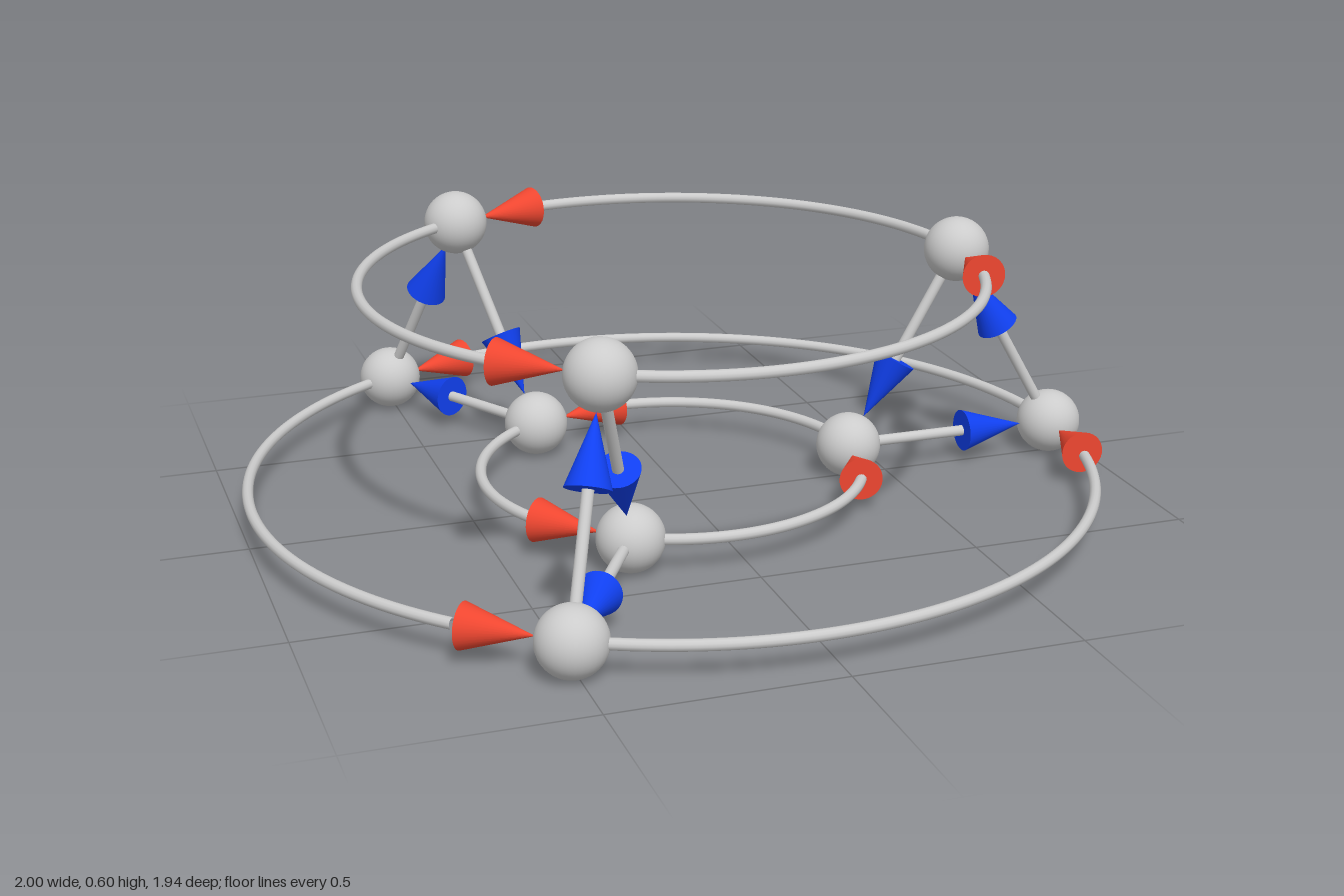
import * as THREE from 'three';

const CX = -0.0315;          // axis of the rings
const NODE_R = 0.075;
const WIRE_R = 0.0125;
const HEAD_R = 0.049;
const HEAD_BASE = 0.228;     // arrowhead base to node centre
const LOW = 0.075, HIGH = 0.527;
const RINGS = {
  inner: { r: 0.436, y: LOW },
  middle: { r: 0.696, y: HIGH },
  outer: { r: 0.9565, y: LOW },
};

const grey = new THREE.MeshStandardMaterial({ color: 0xcccccc });
const red = new THREE.MeshStandardMaterial({ color: 0xee4630 });
const blue = new THREE.MeshStandardMaterial({ color: 0x1040f0 });
const UP = new THREE.Vector3(0, 1, 0);

// Point on a ring; angles run anticlockwise seen from above
function ringPoint({ r, y }, a) {
  return new THREE.Vector3(CX + r * Math.cos(a), y, -r * Math.sin(a));
}

function addMesh(parent, name, geometry, material) {
  const mesh = new THREE.Mesh(geometry, material);
  mesh.name = name;
  parent.add(mesh);
  return mesh;
}

// Arrowhead touching the node at target, arriving from the point from
function addHead(parent, name, from, target, material) {
  const length = HEAD_BASE - NODE_R;
  const dir = target.clone().sub(from).normalize();
  const head = addMesh(parent, name, new THREE.ConeGeometry(HEAD_R, length, 32), material);
  head.quaternion.setFromUnitVectors(UP, dir);
  head.position.copy(target).addScaledVector(dir, -(NODE_R + length / 2));
}

// Straight arrow between two nodes
function addStraightArrow(parent, name, from, target) {
  const dir = target.clone().sub(from);
  const length = dir.length() - HEAD_BASE + 0.005;
  dir.normalize();
  const shaft = addMesh(parent, name + 'Shaft',
    new THREE.CylinderGeometry(WIRE_R, WIRE_R, length, 16), grey);
  shaft.quaternion.setFromUnitVectors(UP, dir);
  shaft.position.copy(from).addScaledVector(dir, length / 2);
  addHead(parent, name + 'Head', from, target, blue);
}

// Arc arrow along a ring, from one node to the next
function addArcArrow(parent, name, ring, start, end) {
  const headAngle = 2 * Math.asin(HEAD_BASE / (2 * ring.r));
  const gap = Math.max(Math.PI / 12, headAngle * 0.97);
  const arc = addMesh(parent, name + 'Arc',
    new THREE.TorusGeometry(ring.r, WIRE_R, 12, 64, end - start - gap), grey);
  arc.rotation.set(-Math.PI / 2, 0, start);
  arc.position.set(CX, ring.y, 0);
  addHead(parent, name + 'Head', ringPoint(ring, end - headAngle), ringPoint(ring, end), red);
}

export function createModel() {
  const model = new THREE.Group();
  model.name = 'triangularRingGraph';
  const step = (Math.PI * 2) / 3;

  for (let i = 0; i < 3; i++) {
    const section = new THREE.Group();
    section.name = 'section' + (i + 1);
    model.add(section);
    const a = i * step;

    // Nodes and the arcs leaving them
    const at = {};
    for (const [name, ring] of Object.entries(RINGS)) {
      at[name] = ringPoint(ring, a);
      addMesh(section, name + 'Node', new THREE.SphereGeometry(NODE_R, 32, 24), grey)
        .position.copy(at[name]);
      addArcArrow(section, name + 'Ring', ring, a, a + step);
    }

    // Triangle of straight arrows
    addStraightArrow(section, 'risingArrow', at.outer, at.middle);
    addStraightArrow(section, 'fallingArrow', at.middle, at.inner);
    addStraightArrow(section, 'floorArrow', at.inner, at.outer);
  }
  return model;
}
